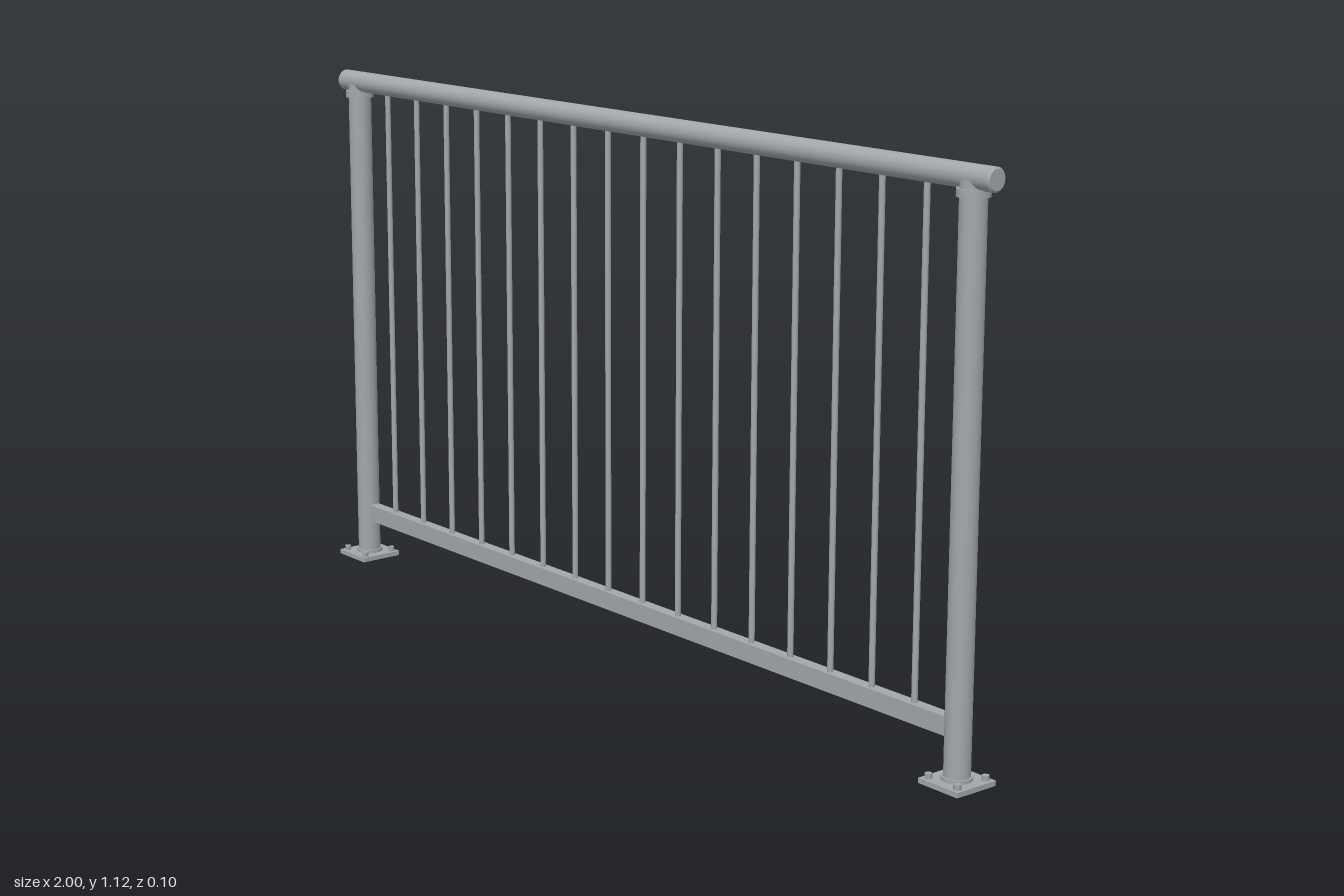
import * as THREE from 'three';

export function createModel() {
  const model = new THREE.Group();
  model.name = 'railing';
  const steel = new THREE.MeshStandardMaterial({ color: 0xa3a7aa });
  steel.name = 'brushed steel grey';

  const POST_X = 0.946, RAIL_Y = 1.0995, RAIL_R = 0.0225;

  function add(parent, name, geometry, x = 0, y = 0, z = 0) {
    const mesh = new THREE.Mesh(geometry, steel);
    mesh.name = name;
    mesh.position.set(x, y, z);
    parent.add(mesh);
    return mesh;
  }
  // upright cylinder between two heights
  function upright(parent, name, r, y0, y1, x = 0, z = 0, sides = 32) {
    return add(parent, name, new THREE.CylinderGeometry(r, r, y1 - y0, sides), x, (y0 + y1) / 2, z);
  }

  // Round handrail with slightly chamfered ends
  const profile = [[0, -1], [0.019, -1], [RAIL_R, -0.997], [RAIL_R, -0.997], [RAIL_R, 0.997],
    [RAIL_R, 0.997], [0.019, 1], [0, 1]].map(([r, y]) => new THREE.Vector2(r, y));
  // each profile segment is its own lathe, so the edges stay crisp
  const handrail = new THREE.Group();
  handrail.name = 'handrail';
  handrail.position.y = RAIL_Y;
  handrail.rotation.z = -Math.PI / 2;
  model.add(handrail);
  for (const i of [0, 1, 3, 5, 6]) {
    const part = i === 3 ? 'handrailTube' : 'handrailEnd';
    add(handrail, part, new THREE.LatheGeometry([profile[i], profile[i + 1]], 32));
  }

  // Posts with bolted base plates and top collars
  for (const side of [-1, 1]) {
    const post = new THREE.Group();
    post.name = side < 0 ? 'rightPost' : 'leftPost';
    post.position.x = side * POST_X;
    model.add(post);
    add(post, 'basePlate', new THREE.BoxGeometry(0.098, 0.01, 0.098), 0, 0.005, 0);
    upright(post, 'baseRing', 0.029, 0.01, 0.017);
    upright(post, 'postTube', 0.025, 0.01, 1.095);
    upright(post, 'collar', 0.0305, 1.065, 1.08);
    for (const bx of [-1, 1]) {
      for (const bz of [-1, 1]) {
        upright(post, 'bolt', 0.0075, 0.01, 0.02, bx * 0.036, bz * 0.036, 6);
      }
    }
  }

  // Flat bottom rail between the posts
  add(model, 'bottomRail', new THREE.BoxGeometry(2 * POST_X - 0.04, 0.037, 0.025), 0, 0.1065, 0);

  // Evenly spaced balusters
  const COUNT = 16, step = (2 * POST_X) / (COUNT + 1);
  for (let i = 1; i <= COUNT; i++) {
    upright(model, 'baluster', 0.006, 0.12, RAIL_Y - 0.01, -POST_X + i * step, 0, 16);
  }
  return model;
}
